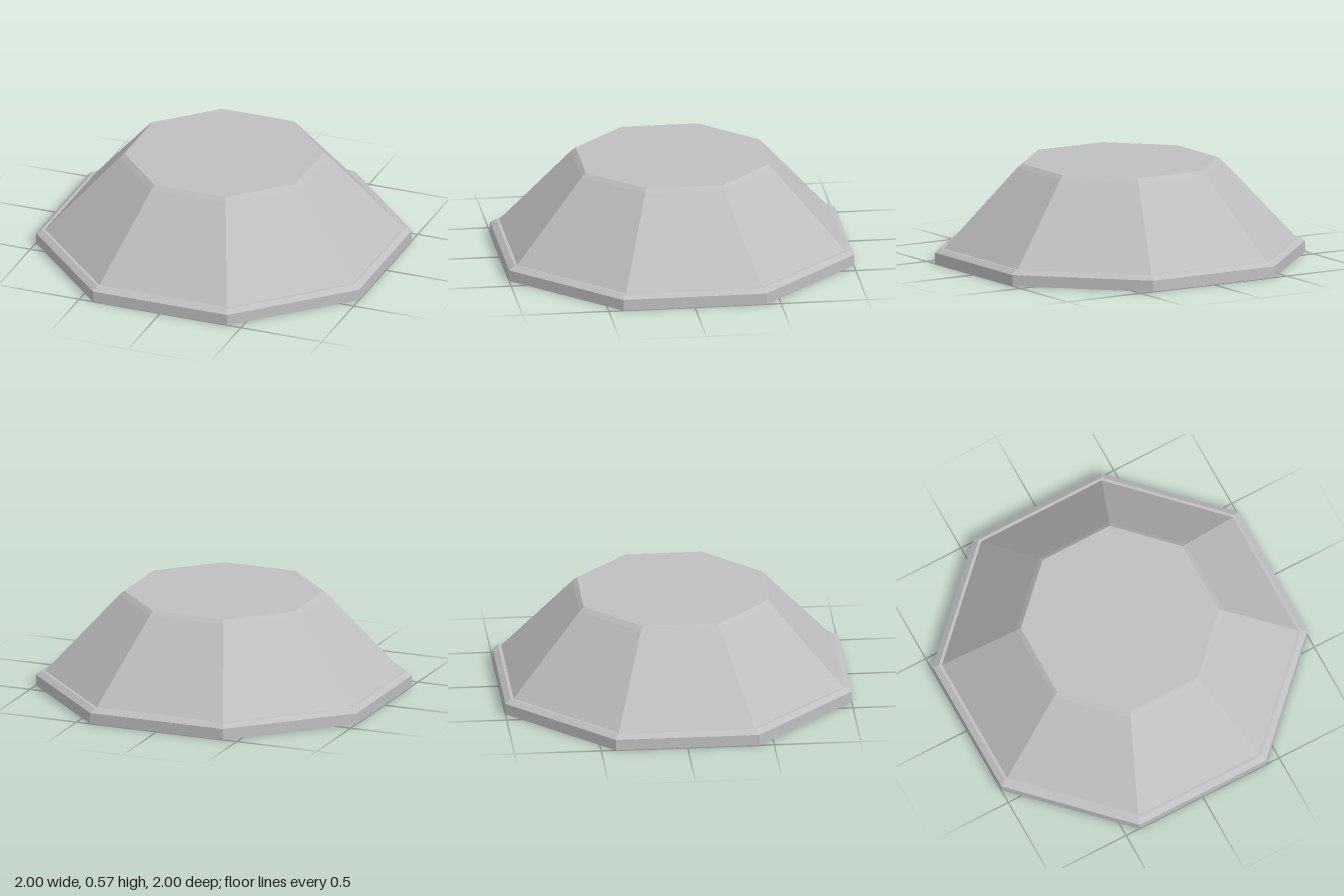
import * as THREE from 'three';

// Octagonal frustum measured by its flat-to-flat half widths, faceted, flats facing the axes
function frustum(name, bottom, top, y0, y1, material) {
  const k = 1 / Math.cos(Math.PI / 8);
  const indexed = new THREE.CylinderGeometry(top * k, bottom * k, y1 - y0, 8, 1, false, Math.PI / 8);
  const geometry = indexed.toNonIndexed();
  geometry.computeVertexNormals();
  const mesh = new THREE.Mesh(geometry, material);
  mesh.name = name;
  mesh.position.y = (y0 + y1) / 2;
  return mesh;
}

export function createModel() {
  const group = new THREE.Group();
  group.name = 'octagonalPedestal';
  const grey = new THREE.MeshStandardMaterial({ color: 0xbfbfbf });
  grey.name = 'stone grey';

  group.add(
    // Flat base slab and its chamfered upper edge
    frustum('baseSlab', 1, 1, 0, 0.065, grey),
    frustum('baseChamfer', 1, 0.968, 0.065, 0.088, grey),
    // Sloping body with a slightly softer band below the flat top
    frustum('slopedBody', 0.951, 0.555, 0.088, 0.547, grey),
    frustum('topBand', 0.555, 0.53, 0.547, 0.57, grey),
  );
  return group;
}
